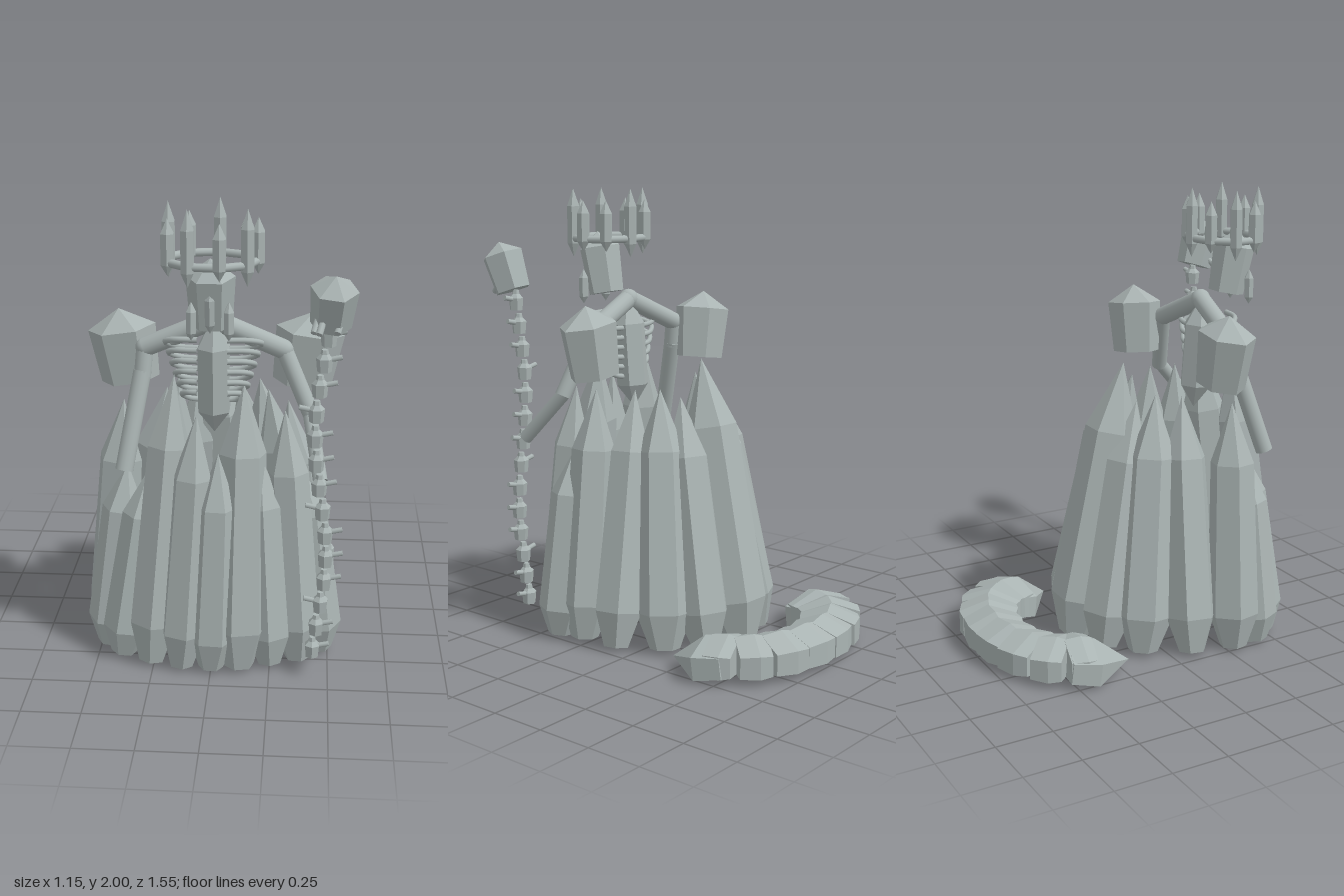
import * as THREE from 'three';

const stone = new THREE.MeshStandardMaterial({ color: 0xaab4b3 });
stone.name = 'paleStone';
const V = (x, y, z) => new THREE.Vector3(x, y, z);
const UP = V(0, 1, 0);

// Profiles: [radius fraction, length fraction] from base to tip
const SHARD = [[0, 0], [0.53, 0], [1, 0.14], [0.84, 0.76], [0, 1]];
const BLOCK = [[0, 0], [0.86, 0], [1, 0.74], [0, 1]];
const SPIKE = [[0, 0], [1, 0.2], [1, 0.74], [0, 1]];
const LINK = [[0, 0], [0.85, 0], [1, 0.6], [0.5, 0.8], [0.4, 1], [0, 1]];

export function createModel() {
  const root = new THREE.Group();
  root.name = 'crystalMonarch';

  function group(name) {
    const g = new THREE.Group();
    g.name = name;
    root.add(g);
    return g;
  }
  function add(parent, name, geo) {
    const m = new THREE.Mesh(geo, stone);
    m.name = name;
    parent.add(m);
    return m;
  }
  // Six-sided faceted crystal along +y, with hard edges
  function crystalGeometry(r, len, profile, turn = 0) {
    const pts = profile.map(([pr, py]) => new THREE.Vector2(pr * r, py * len));
    const geo = new THREE.LatheGeometry(pts, 6).rotateY(turn).toNonIndexed();
    geo.computeVertexNormals();
    return geo;
  }
  // Crystal running from point a to point b
  function crystal(parent, name, a, b, r, profile, turn = 0, sz = 1) {
    const dir = b.clone().sub(a);
    const geo = crystalGeometry(r, dir.length(), profile, turn).scale(1, 1, sz);
    const m = add(parent, name, geo);
    m.position.copy(a);
    m.quaternion.setFromUnitVectors(UP, dir.normalize());
  }
  // Round limb between two points
  function rod(parent, name, a, b, r, sides = 16) {
    const dir = b.clone().sub(a);
    const m = add(parent, name, new THREE.CylinderGeometry(r, r, dir.length(), sides));
    m.position.copy(a).addScaledVector(dir, 0.5);
    m.quaternion.setFromUnitVectors(UP, dir.normalize());
  }

  // Skirt of leaning shards: base x, base z, tip x, tip z, height, radius
  const skirt = group('skirt');
  const shards = [
    [0, -0.265, -0.02, -0.02, 1.26, 0.14],
    [-0.47, 0.29, -0.39, 0.31, 1.12, 0.115], [0.43, 0.29, 0.31, 0.31, 1.13, 0.115],
    [-0.39, 0.5, -0.27, 0.45, 0.86, 0.105], [-0.26, 0.56, -0.16, 0.45, 1.28, 0.11],
    [-0.13, 0.6, -0.06, 0.55, 1.14, 0.1], [0, 0.61, 0.03, 0.57, 0.98, 0.1],
    [0.12, 0.59, 0.13, 0.46, 1.25, 0.12], [0.25, 0.55, 0.2, 0.48, 0.95, 0.1],
    [0.37, 0.5, 0.3, 0.44, 1.13, 0.105],
  ];
  for (const s of [-1, 1]) {
    shards.push(
      [s * 0.18, -0.21, s * 0.1, 0.0, 1.1, 0.125],
      [s * 0.32, -0.09, s * 0.18, 0.05, 1.14, 0.125],
      [s * 0.43, 0.1, s * 0.22, 0.16, 1.13, 0.115],
      [s * 0.46, 0.41, s * 0.37, 0.39, 0.86, 0.11],
    );
  }
  shards.forEach(([bx, bz, tx, tz, h, r]) =>
    crystal(skirt, 'skirtShard', V(bx, 0.015, bz), V(tx, h, tz), r, SHARD,
      Math.atan2(bx, bz - 0.17) + Math.PI / 6));

  // Curved tail on the ground: ridged on top, flat below, growing towards both ends
  const tail = group('tail');
  function tailPiece(name, a, b, halfWidth, profile) {
    const dir = b.clone().sub(a);
    const r = halfWidth / 0.866;
    const geo = crystalGeometry(r, dir.length(), profile)
      .rotateX(Math.PI / 2).scale(1, 0.1 / r, 1);
    const p = geo.attributes.position;
    for (let i = 0; i < p.count; i++) p.setY(i, Math.max(p.getY(i), -0.062));
    geo.computeVertexNormals();
    const m = add(tail, name, geo);
    m.position.copy(a);
    m.lookAt(b);
  }
  const tailPoint = (t) => {
    const a = Math.PI * t;
    return V(0.38 * Math.cos(a), 0.08, -0.4 - 0.25 * Math.sin(a));
  };
  for (let i = 0; i < 8; i++) {
    const w = 0.12 + 0.03 * Math.abs((i - 3.5) / 3.5);
    tailPiece('tailSegment', tailPoint(i / 8), tailPoint((i + 1.2) / 8), w,
      [[0, 0], [0.92, 0], [1, 0.6], [0.88, 1], [0, 1]]);
  }
  for (const s of [-1, 1]) {
    tailPiece('tailTip', V(s * 0.36, 0.08, -0.5), V(s * 0.42, 0.045, -0.22), 0.155,
      [[0, 0], [0.9, 0], [1, 0.42], [0, 1]]);
  }

  // Spine and ribs
  const torso = group('torso');
  crystal(torso, 'spine', V(0, 1.0, 0.36), V(0, 1.52, 0.4), 0.075, SPIKE);
  for (let i = 0; i < 6; i++) {
    const y = 1.4 - i * 0.045, w = 0.2 - i * 0.014;
    for (const s of [-1, 1]) {
      const curve = new THREE.CatmullRomCurve3([
        V(s * 0.03, y - 0.03, 0.37), V(s * w * 0.75, y - 0.02, 0.38),
        V(s * w, y + 0.01, 0.42), V(s * w * 0.8, y + 0.035, 0.47), V(s * 0.06, y + 0.04, 0.49),
      ]);
      add(torso, 'rib', new THREE.TubeGeometry(curve, 16, 0.012, 8));
    }
  }

  // Collar bones, shoulder blocks and arms
  const arms = group('arms');
  const ball = (p, r) => add(arms, 'joint', new THREE.SphereGeometry(r, 14, 10)).position.copy(p);
  const neck = V(0, 1.5, 0.39);
  ball(neck, 0.045);
  for (const s of [-1, 1]) {
    const shoulder = V(s * 0.29, 1.37, 0.365);
    rod(arms, 'collarBone', neck, shoulder, 0.042);
    ball(shoulder, 0.04);
    crystal(arms, 'shoulderBlock', V(s * 0.365, 1.2, 0.265), V(s * 0.41, 1.51, 0.275), 0.145, BLOCK,
      Math.PI / 6, 0.8);
  }
  rod(arms, 'rightForearm', V(-0.3, 1.27, 0.38), V(-0.37, 0.87, 0.5), 0.038);
  rod(arms, 'rightUpperArm', V(-0.29, 1.37, 0.365), V(-0.3, 1.25, 0.385), 0.036);
  rod(arms, 'leftUpperArm', V(0.29, 1.37, 0.365), V(0.41, 1.1, 0.42), 0.036);
  rod(arms, 'leftForearm', V(0.4, 1.12, 0.41), V(0.45, 0.89, 0.62), 0.03);

  // Floating head with mandibles
  const head = group('head');
  crystal(head, 'skull', V(0, 1.52, 0.525), V(0, 1.8, 0.58), 0.1, BLOCK, Math.PI / 6, 0.9);
  for (const s of [-1, 1]) {
    crystal(head, 'mandible', V(s * 0.075, 1.47, 0.6), V(s * 0.075, 1.63, 0.6), 0.022, SPIKE);
  }
  crystal(head, 'nose', V(0, 1.5, 0.6), V(0, 1.69, 0.62), 0.022, SPIKE);

  // Floating crown: spikes joined by straight bars
  const crown = group('crown');
  const crownPoint = (i, y) => {
    const a = 0.13 + (i * Math.PI * 2) / 9;
    return V(0.185 * Math.sin(a), y, 0.5 - 0.148 * Math.cos(a));
  };
  [1, 0, 0, 1, 0, 1, 0, 1, 0].forEach((tall, i) => {
    crystal(crown, 'crownSpike', crownPoint(i, tall ? 1.69 : 1.72), crownPoint(i, tall ? 2 : 1.95),
      0.029, SPIKE);
    rod(crown, 'crownBar', crownPoint(i, 1.775), crownPoint(i + 1, 1.775), 0.017, 10);
  });

  // Staff of separate links, each with a side prong
  const staff = group('staff');
  for (let i = 0; i < 14; i++) {
    const y = 0.1 + i * 0.1055;
    const x = 0.452 + 0.027 * Math.cos((i - 4) * 0.6);
    crystal(staff, 'staffLink', V(x, y, 0.64), V(x, y + 0.09, 0.64), 0.034, LINK, i);
    const side = i % 4 === 2 ? -1 : 1;
    rod(staff, 'staffProng', V(x, y + 0.045, 0.64), V(x + side * 0.07, y + 0.06, 0.64), 0.011, 8);
  }
  crystal(staff, 'staffHead', V(0.475, 1.56, 0.65), V(0.49, 1.77, 0.72), 0.095, BLOCK, 0.4);
  for (const [x, z] of [[0.41, 0.74], [0.43, 0.76], [0.5, 0.74]]) {
    rod(staff, 'headProng', V(x + 0.02, 1.61, z - 0.06), V(x, 1.55, z), 0.014, 8);
  }

  return root;
}
